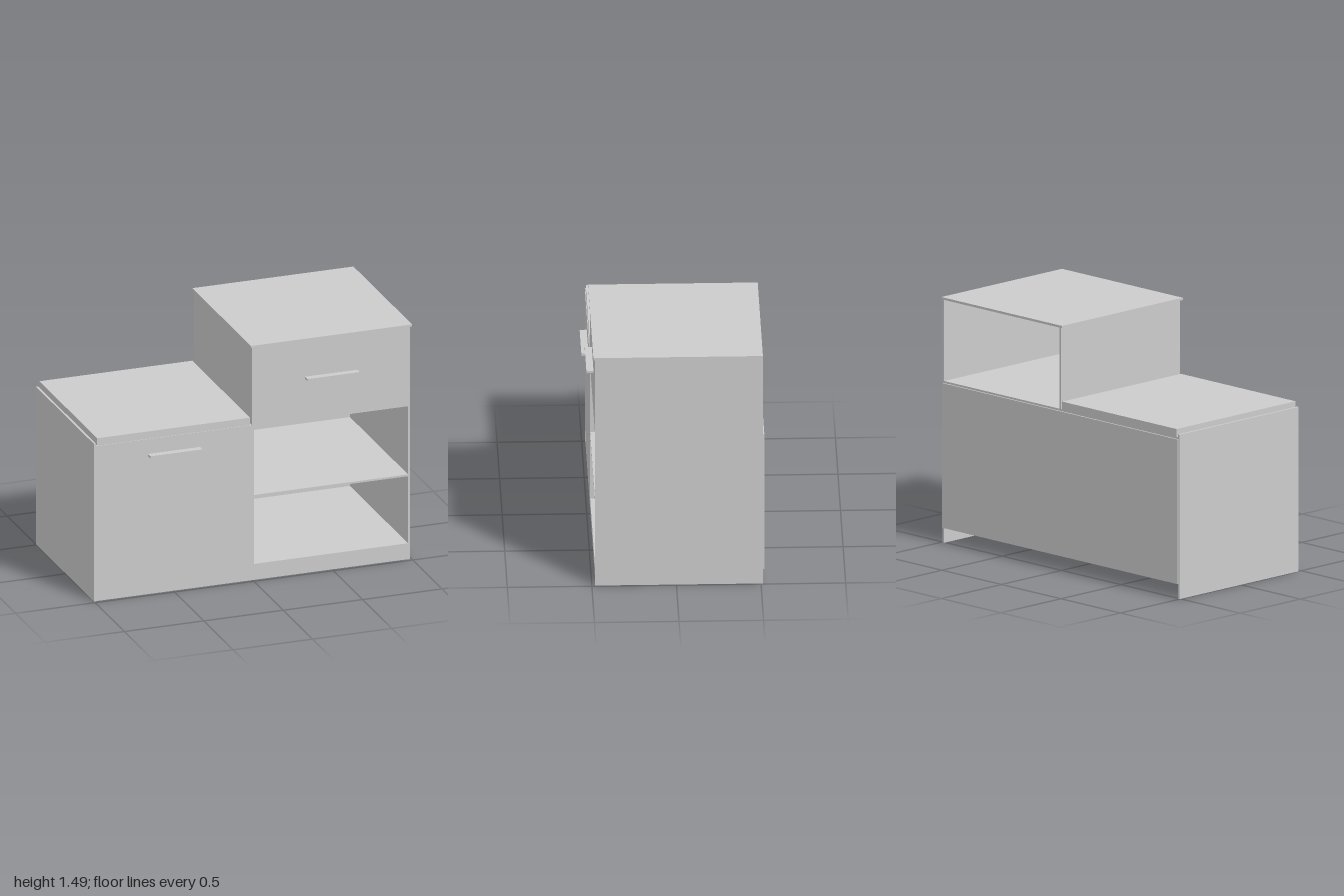
import * as THREE from 'three';

export function createModel() {
  const group = new THREE.Group();
  const material = new THREE.MeshStandardMaterial({ color: 0xcccccc });

  // Adds a board given its extents along each axis
  function board(name, [x0, x1], [y0, y1], [z0, z1]) {
    const mesh = new THREE.Mesh(new THREE.BoxGeometry(x1 - x0, y1 - y0, z1 - z0), material);
    mesh.position.set((x0 + x1) / 2, (y0 + y1) / 2, (z0 + z1) / 2);
    mesh.name = name;
    group.add(mesh);
  }

  const depth = [-0.511, 0.48];
  const inner = [-0.987, 0.978];   // between the outer side panels
  const bay = [0.009, 0.978];      // open shelf bay and drawer
  const divider = [-0.004, 0.009];
  const front = [0.467, 0.48];     // door and drawer front thickness

  // Carcass
  board('lowSidePanel', [-1, -0.987], [0, 1.0], depth);
  board('tallSidePanel', [0.978, 0.991], [0, 1.477], depth);
  board('bottomBoard', inner, [0.09, 0.102], depth);
  board('middleBoard', inner, [0.971, 0.984], depth);
  board('divider', divider, [0.102, 0.971], depth);
  board('shelf', bay, [0.527, 0.539], depth);
  board('plinth', inner, [0, 0.09], [0.465, 0.478]);
  board('backPanel', [-0.993, 0.984], [0.092, 0.972], [-0.52, -0.511]);

  // Raised drawer compartment, open at the back
  board('upperSidePanel', divider, [0.984, 1.477], depth);
  board('topBoard', [-0.015, 1], [1.477, 1.491], [-0.511, 0.491]);
  board('drawerFront', bay, [0.984, 1.477], front);

  // Door and seat cushion
  board('door', [-0.987, -0.004], [0.102, 0.971], front);
  board('seatCushion', [-0.978, -0.015], [0.984, 1.031], [-0.511, 0.476]);

  // Bar handles
  board('doorHandle', [-0.66, -0.33], [0.876, 0.89], [0.48, 0.522]);
  board('drawerHandle', [0.33, 0.66], [1.232, 1.246], [0.48, 0.522]);

  return group;
}
